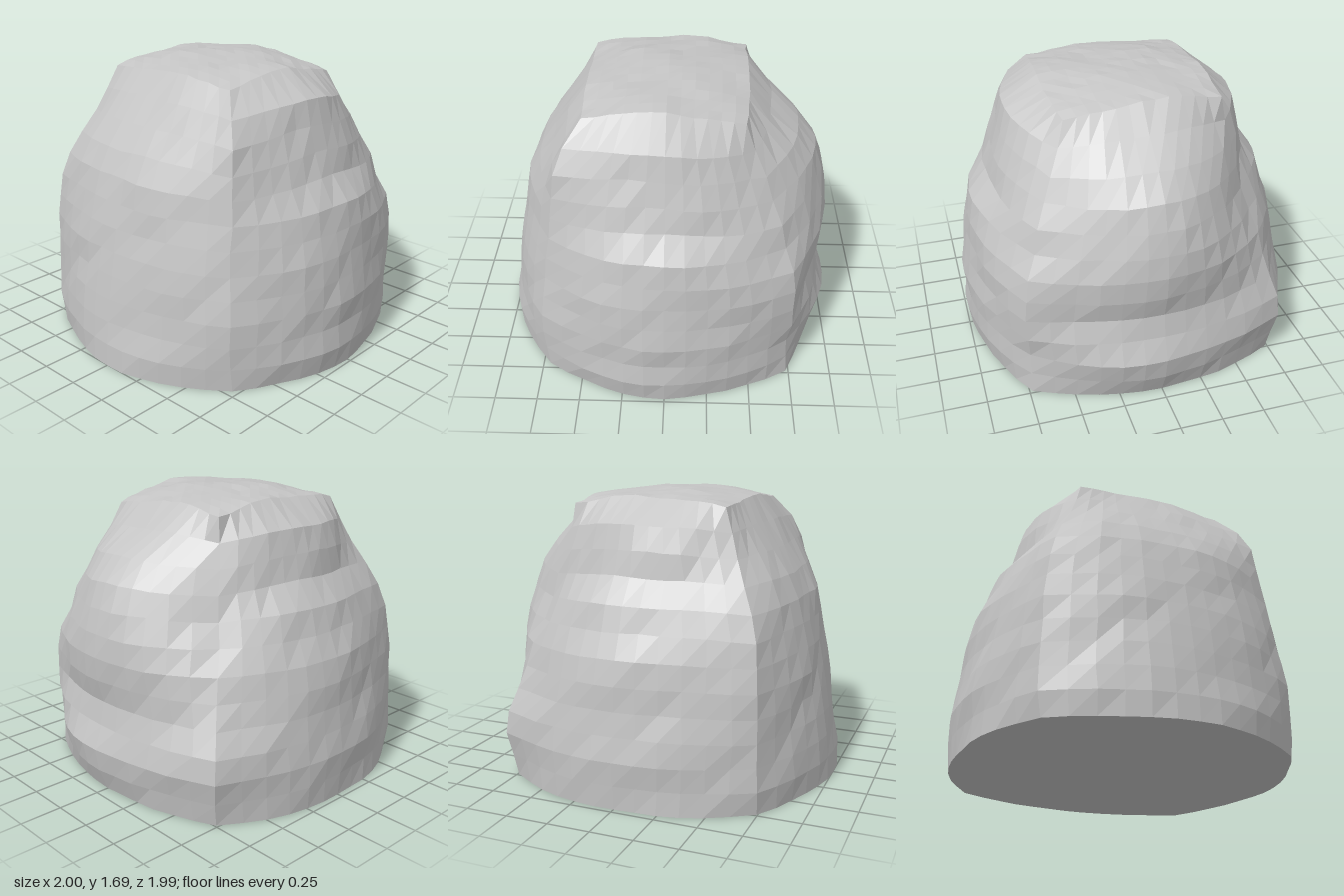
import * as THREE from 'three';

// Half-widths from the ground to the rim, at evenly spaced heights:
// first through the middle of each side, then along the four corner ridges
const LEFT = [.92, .97, 1, .95, .92, .95, .97, .955, .92, .87, .77, .6, .46];
const RIGHT = [1, 1, .98, .96, .94, .92, .89, .86, .83, .76, .66, .56, .46];
const FRONT = [.97, 1, .99, 1, .98, .97, .95, .92, .82, .78, .73, .69, .48];
const BACK = [.98, .98, .99, .97, .95, .94, .92, .86, .82, .71, .69, .65, .46];
const FRONT_LEFT = [.73, .73, .73, .74, .74, .74, .72, .67, .64, .59, .54, .48, .43];
const FRONT_RIGHT = [.71, .72, .72, .72, .71, .69, .67, .66, .65, .63, .61, .56, .46];
const BACK_LEFT = [.74, .76, .78, .77, .73, .69, .65, .61, .57, .54, .51, .48, .46];
const BACK_RIGHT = [.74, .75, .75, .75, .74, .74, .73, .71, .67, .62, .55, .5, .45];
const ROWS = LEFT.length - 1;

// Repeatable roughness in -1..1, mixing broad dents with small chips
function rough(u, v, w, seed) {
  const broad = Math.sin(u * 5.1 + v * 6.3 + seed) * Math.cos(w * 4.7 - v * 3.9 + seed * 2);
  const n = Math.sin(u * 127.1 + v * 311.7 + w * 74.7 + seed * 19.3) * 43758.5453;
  return broad * 0.6 + (n - Math.floor(n) - 0.5) * 0.7;
}

// Maps a point of the cube (-1..1) to the boulder: round at the foot, square at the top
function shapePoint(p) {
  const { x: u, y: v, z: w } = p;
  const h = (v + 1) / 2;
  const row = Math.round(h * ROWS);
  const left = (1 + u) / 2;
  const front = (1 + w) / 2;
  const corner = front * (left * FRONT_LEFT[row] + (1 - left) * FRONT_RIGHT[row])
    + (1 - front) * (left * BACK_LEFT[row] + (1 - left) * BACK_RIGHT[row]);
  const midX = (u > 0 ? LEFT : RIGHT)[row];
  const midZ = (w > 0 ? FRONT : BACK)[row];
  const chip = 0.015 * (1 - Math.pow(h, 8) * 0.5);

  const x = u * (corner + (midX - corner) * (1 - w * w) + chip * rough(u, v, w, 1));
  const z = w * (corner + (midZ - corner) * (1 - u * u) + chip * rough(u, v, w, 2));

  // Crown, with one front corner worn down
  const top = 1.61 + 0.05 * (1 - u * u) + 0.03 * (1 - w * w)
    - 0.05 * Math.max(0, u) * Math.max(0, w);
  const y = h * (top + 0.013 * rough(u, v, w, 3));
  p.set(x, y, z);
}

export function createModel() {
  const group = new THREE.Group();
  group.name = 'boulder';

  const stone = new THREE.MeshStandardMaterial({ color: 0xc5c5c5, flatShading: true });
  stone.name = 'grey stone';

  const geometry = new THREE.BoxGeometry(2, 2, 2, 12, ROWS, 12);
  const position = geometry.attributes.position;
  const p = new THREE.Vector3();
  for (let i = 0; i < position.count; i++) {
    p.fromBufferAttribute(position, i);
    // Snap so that the shared edges of the cube stay closed
    p.set(...p.toArray().map((n) => Math.round(n * 1e4) / 1e4));
    shapePoint(p);
    position.setXYZ(i, p.x, p.y, p.z);
  }
  geometry.computeVertexNormals();

  const rock = new THREE.Mesh(geometry, stone);
  rock.name = 'rock';
  group.add(rock);
  return group;
}
